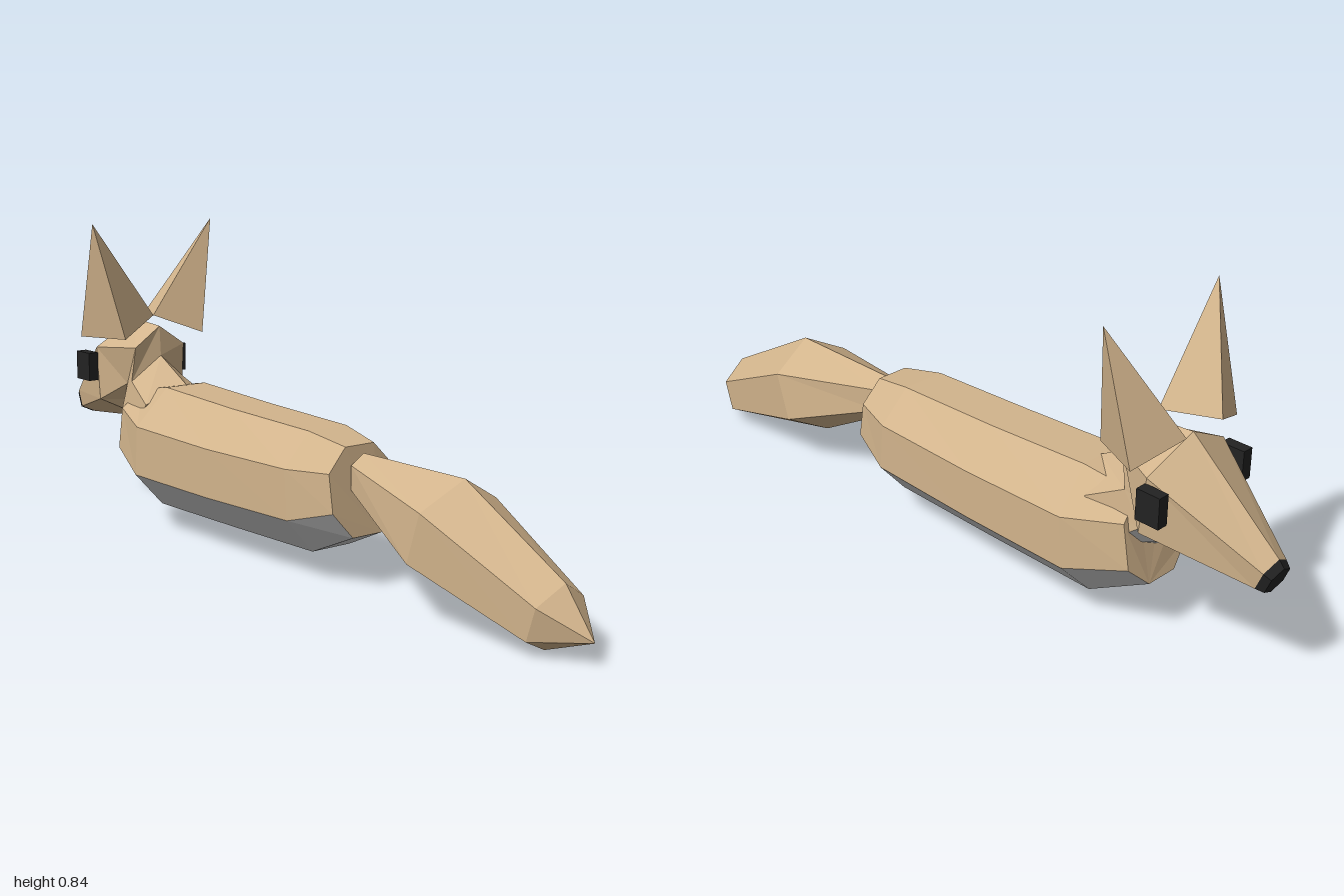
import * as THREE from 'three';

const material = (color) => new THREE.MeshStandardMaterial({ color, flatShading: true });
const tan = material(0xd2b48c);
const grey = material(0xcccccc);
const black = material(0x222222);

// Mirrors half a cross-section (bottom to top, x >= 0) into a full loop.
function ring(half) {
  const mirrored = half.filter((p) => p[0] > 0).reverse().map(([x, y, z]) => [-x, y, z]);
  return [...half, ...mirrored];
}

// Six-sided section with a ridge on top; each corner level is [y, z].
const hex = (w, bottom, lower, upper, top) =>
  ring([[0, ...bottom], [w, ...lower], [w, ...upper], [0, ...top]]);

// Eight-sided section with a flat top and bottom.
const oct = (wFlat, w, bottom, lower, upper, top) =>
  ring([[wFlat, ...bottom], [w, ...lower], [w, ...upper], [wFlat, ...top]]);

// Skins rings running from +z to -z, using only the listed side strips.
function loft(name, mat, rings, { strips, capBack = false, capFront = false } = {}) {
  const pos = [];
  const tri = (a, b, c) => {
    if (a.join() !== b.join() && b.join() !== c.join() && a.join() !== c.join()) pos.push(...a, ...b, ...c);
  };
  const n = rings[0].length;
  for (let i = 0; i < rings.length - 1; i++) {
    for (const k of strips ?? rings[0].keys()) {
      const a = rings[i][k], b = rings[i][(k + 1) % n];
      const d = rings[i + 1][k], c = rings[i + 1][(k + 1) % n];
      tri(a, d, b);
      tri(b, d, c);
    }
  }
  const back = rings[0], front = rings[rings.length - 1];
  for (let k = 1; k < n - 1; k++) {
    if (capBack) tri(back[0], back[k], back[k + 1]);
    if (capFront) tri(front[0], front[k + 1], front[k]);
  }
  const geo = new THREE.BufferGeometry();
  geo.setAttribute('position', new THREE.Float32BufferAttribute(pos, 3));
  geo.computeVertexNormals();
  const mesh = new THREE.Mesh(geo, mat);
  mesh.name = name;
  return mesh;
}

export function createModel() {
  const model = new THREE.Group();
  model.name = 'fox';

  // Bushy tail, tip first
  const tip = [0.055, 1.0];
  model.add(loft('tail', tan, [
    hex(0, tip, tip, tip, tip).concat([[0, ...tip], [0, ...tip]]),
    hex(0.075, [0.003, 0.86], [0.04, 0.875], [0.12, 0.9], [0.165, 0.915]),
    hex(0.12, [0.08, 0.53], [0.145, 0.55], [0.27, 0.59], [0.335, 0.61]),
    hex(0.04, [0.225, 0.265], [0.25, 0.265], [0.31, 0.265], [0.335, 0.265]),
  ], { capFront: true }));

  // Body: tan back and sides, grey belly
  const body = [
    oct(0.045, 0.1, [0.135, 0.28], [0.2, 0.27], [0.295, 0.255], [0.353, 0.25]),
    oct(0.06, 0.14, [0.075, 0.145], [0.166, 0.145], [0.292, 0.135], [0.375, 0.13]),
    oct(0.063, 0.148, [0.072, -0.18], [0.162, -0.18], [0.29, -0.18], [0.385, -0.18]),
    oct(0.063, 0.155, [0.07, -0.51], [0.166, -0.5], [0.3, -0.49], [0.4, -0.48]),
    oct(0.045, 0.105, [0.155, -0.675], [0.21, -0.66], [0.325, -0.64], [0.375, -0.625]),
  ];
  model.add(loft('body', tan, body, { strips: [1, 2, 3, 4, 5], capBack: true, capFront: true }));
  model.add(loft('belly', grey, body, { strips: [0, 6, 7] }));

  // Neck: flares into the shoulders, grey throat
  const nape = hex(0.08, [0.33, -0.68], [0.39, -0.65], [0.495, -0.605], [0.55, -0.605]);
  const neck = [
    hex(0.105, [0.22, -0.62], [0.26, -0.59], [0.35, -0.52], [0.4, -0.475]),
    hex(0.085, [0.265, -0.715], [0.32, -0.67], [0.4, -0.62], [0.468, -0.6]),
    nape,
  ];
  model.add(loft('neck', tan, neck, { strips: [1, 2, 3, 4], capBack: true }));
  model.add(loft('throat', grey, neck, { strips: [0, 5] }));

  // Head tapering to the muzzle, with a dark nose
  const muzzle = hex(0.042, [0.258, -0.95], [0.277, -0.958], [0.322, -0.976], [0.345, -0.985]);
  model.add(loft('head', tan, [
    nape,
    hex(0.135, [0.28, -0.7], [0.345, -0.705], [0.49, -0.72], [0.56, -0.735]),
    muzzle,
  ]));
  model.add(loft('nose', black, [
    muzzle,
    hex(0.034, [0.256, -0.972], [0.272, -0.978], [0.31, -0.993], [0.328, -1.0]),
  ], { capFront: true }));

  for (const side of [1, -1]) {
    const label = side > 0 ? 'left' : 'right';

    // Ear: four-sided spike on a tilted base
    const base = [[0, 0.577, -0.635], [0.128, 0.525, -0.58], [0.187, 0.525, -0.715], [0.063, 0.577, -0.765]]
      .map(([x, y, z]) => [x * side, y, z]);
    if (side < 0) base.reverse();
    const peak = [0.195 * side, 0.84, -0.63];
    const pos = [...base[0], ...base[2], ...base[1], ...base[0], ...base[3], ...base[2]];
    base.forEach((p, i) => pos.push(...p, ...base[(i + 1) % 4], ...peak));
    const geo = new THREE.BufferGeometry();
    geo.setAttribute('position', new THREE.Float32BufferAttribute(pos, 3));
    geo.computeVertexNormals();
    const ear = new THREE.Mesh(geo, tan);
    ear.name = label + 'Ear';

    // Eye block beside the head
    const eye = new THREE.Mesh(new THREE.BoxGeometry(0.03, 0.078, 0.065), black);
    eye.position.set(0.148 * side, 0.436, -0.748);
    eye.name = label + 'Eye';
    model.add(ear, eye);
  }
  return model;
}
